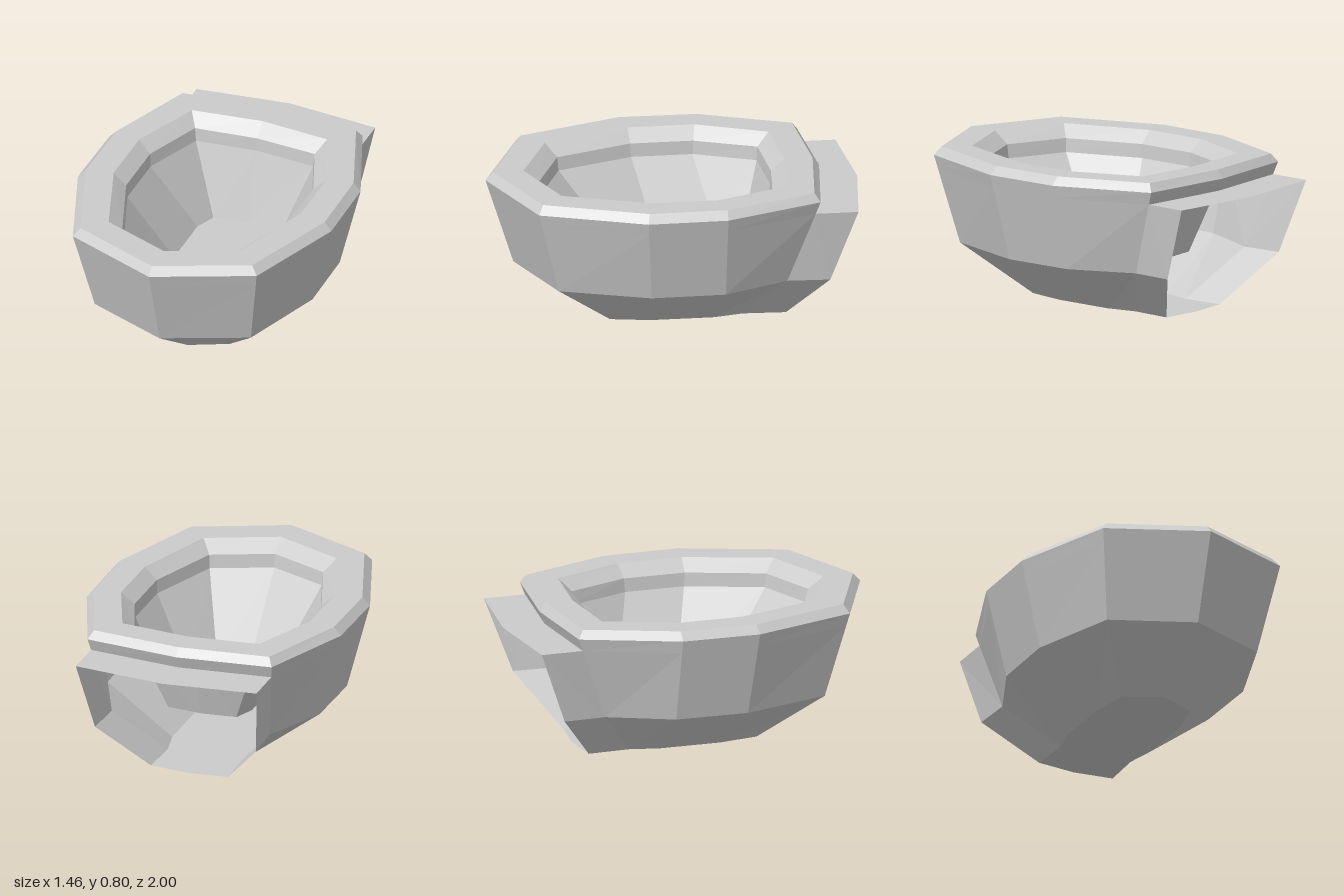
import * as THREE from 'three';

const material = new THREE.MeshStandardMaterial({ color: 0xcccccc, flatShading: true, side: THREE.DoubleSide });

// Half outline [x, z] from front to back, mirrored into a closed loop at height y
function ring(y, half) {
  const right = half.map(([x, z]) => new THREE.Vector3(x, y, z));
  const left = half.slice(1, -1).reverse().map(([x, z]) => new THREE.Vector3(-x, y, z));
  return [...right, ...left];
}

function addMesh(group, name, triangles) {
  const geometry = new THREE.BufferGeometry().setFromPoints(triangles);
  geometry.computeVertexNormals();
  const mesh = new THREE.Mesh(geometry, material);
  mesh.name = name;
  group.add(mesh);
}

// Quads between two rows of points
function strip(a, b, closed = true, skip = []) {
  const out = [];
  const count = closed ? a.length : a.length - 1;
  for (let i = 0; i < count; i++) {
    if (skip.includes(i)) continue;
    const j = (i + 1) % a.length;
    out.push(a[i], a[j], b[j], a[i], b[j], b[i]);
  }
  return out;
}

function loft(rings, skip = []) {
  return rings.slice(1).flatMap((r, i) => strip(rings[i], r, true, skip));
}

// Flat cap as a fan around a centre point
function cap(loop, up) {
  const centre = new THREE.Vector3(0, loop[0].y, 0);
  return loop.flatMap((p, i) => {
    const q = loop[(i + 1) % loop.length];
    return up ? [centre, p, q] : [centre, q, p];
  });
}

export function createModel() {
  const group = new THREE.Group();
  group.name = 'bowlFixture';

  // Outer shell outlines, bottom to top
  const foot = ring(0, [[0, 0.45], [0.205, 0.355], [0.245, 0.14], [0.245, -0.2], [0.21, -0.36], [0, -0.39]]);
  const waist = ring(0.275, [[0, 0.85], [0.45, 0.66], [0.61, 0.18], [0.605, -0.22], [0.45, -0.57], [0, -0.61]]);
  const brim = ring(0.75, [[0, 1], [0.53, 0.775], [0.73, 0.21], [0.725, -0.22], [0.525, -0.74], [0, -0.795]]);
  const shelfLine = waist.map((p, i) => p.clone().lerp(brim[i], 0.853));

  // Shell is open at the back below the shelf
  addMesh(group, 'outerShell', loft([foot, waist, shelfLine], [4, 5]));
  addMesh(group, 'upperShell', loft([shelfLine, brim]));

  // Bevelled rim with a flat top and a sloping inner edge
  const rimTop = ring(0.795, [[0, 0.96], [0.495, 0.75], [0.69, 0.2], [0.685, -0.22], [0.5, -0.71], [0, -0.76]]);
  const rimInner = ring(0.795, [[0, 0.795], [0.38, 0.635], [0.54, 0.17], [0.54, -0.19], [0.39, -0.57], [0, -0.61]]);
  const lip = ring(0.73, [[0, 0.71], [0.325, 0.575], [0.47, 0.165], [0.47, -0.175], [0.345, -0.505], [0, -0.535]]);
  addMesh(group, 'rim', loft([brim, rimTop, rimInner, lip]));

  // Bowl interior
  const wallFoot = ring(0.655, [[0, 0.7], [0.32, 0.568], [0.465, 0.16], [0.465, -0.17], [0.338, -0.5], [0, -0.53]]);
  const well = ring(0.265, [[0, 0.34], [0.165, 0.27], [0.24, 0.05], [0.24, -0.28], [0.195, -0.395], [0, -0.415]]);
  addMesh(group, 'bowl', loft([lip, wallFoot, well]));
  addMesh(group, 'bowlFloor', cap(well, true));

  // Side panels running back from the shell
  const panelBack = [[0.22, 0, -0.59], [0.46, 0.275, -0.8], [0.515, 0.68, -0.945]].map((p) => new THREE.Vector3(...p));
  const panelFront = [foot[4], waist[4], shelfLine[4]];
  const flip = (p) => new THREE.Vector3(-p.x, p.y, p.z);
  addMesh(group, 'leftPanel', strip(panelBack, panelFront, false));
  addMesh(group, 'rightPanel', strip(panelFront.map(flip), panelBack.map(flip), false));

  // Rear shelf
  const shelfBack = [panelBack[2], new THREE.Vector3(0, 0.68, -1), flip(panelBack[2])];
  addMesh(group, 'rearShelf', strip(shelfLine.slice(4, 7), shelfBack, false));

  // Base plate, extended to the back ends of the panels
  const base = [...foot.slice(0, 5), panelBack[0], new THREE.Vector3(0, 0, -0.615), flip(panelBack[0]), ...foot.slice(6)];
  addMesh(group, 'basePlate', cap(base, false));

  return group;
}
